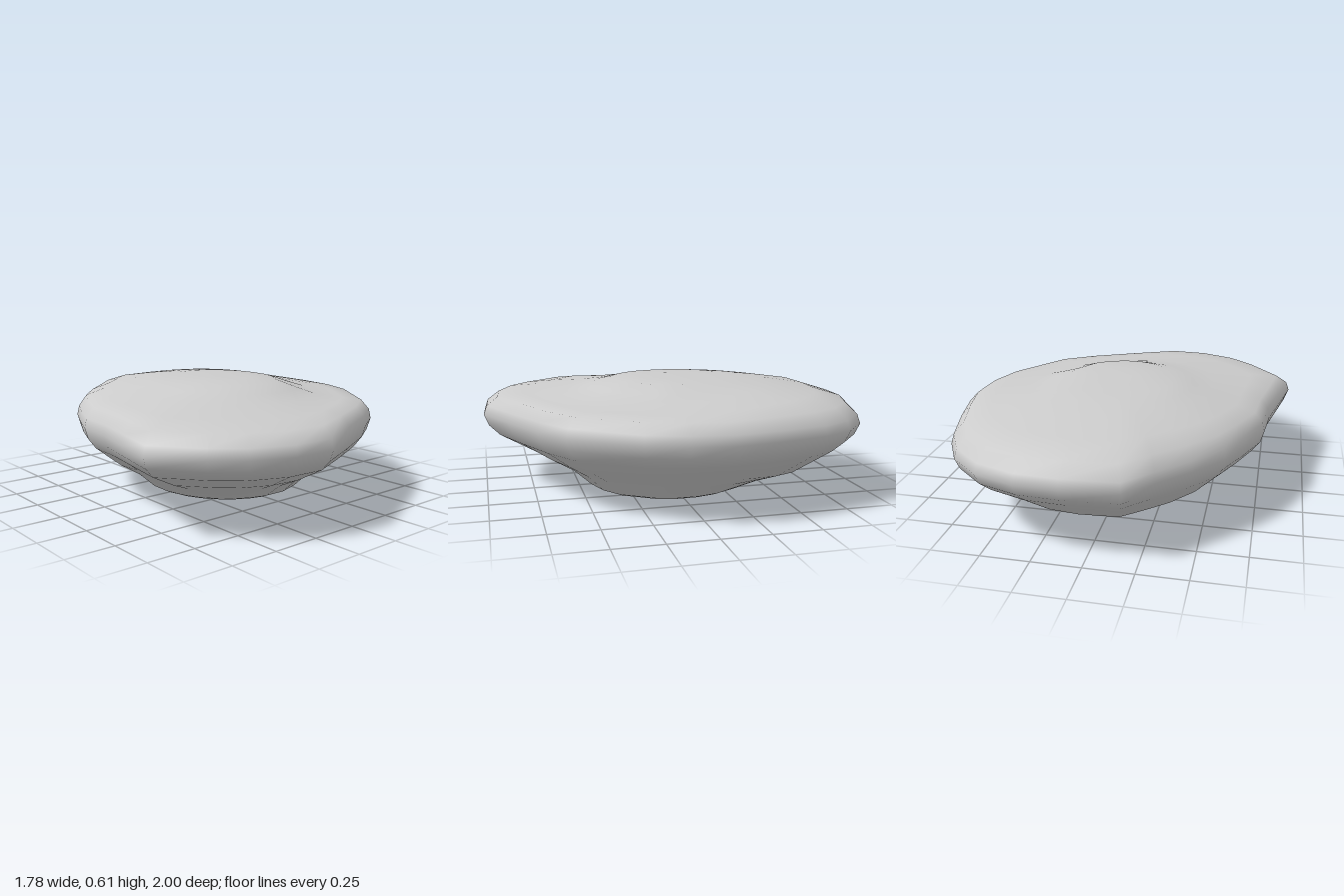
import * as THREE from 'three';

// Plan outline at the widest level, as [x, z]
const outline = [
  [-0.18, -0.98], [0.1, -1], [0.32, -0.99], [0.53, -0.92], [0.69, -0.78], [0.78, -0.61],
  [0.845, -0.36], [0.89, -0.13], [0.87, 0.1], [0.8, 0.3], [0.57, 0.63], [0.38, 0.75],
  [0.12, 0.875], [-0.15, 1], [-0.37, 0.99], [-0.57, 0.91], [-0.71, 0.79], [-0.89, 0.57],
  [-0.84, 0.32], [-0.79, 0.08], [-0.77, -0.14], [-0.69, -0.33], [-0.6, -0.52], [-0.46, -0.69],
  [-0.31, -0.84],
];

// Levels: s scales the core ellipse, t blends from the core to the outline, y is the height.
// back raises or lowers the level toward -z, step lowers it toward the front right.
const levels = [
  { s: 0.6, t: 0, y: 0.003 },
  { s: 0.92, t: 0, y: 0.01 },
  { s: 1, t: 0, y: 0.025 },
  { s: 1, t: 0.22, y: 0.11, back: -0.04 },
  { s: 1, t: 0.5, y: 0.18, back: -0.06 },
  { s: 1, t: 0.85, y: 0.28, back: -0.01 },
  { s: 1, t: 0.955, y: 0.335, back: -0.01 },
  { s: 1, t: 1, y: 0.395, back: -0.01 },
  { s: 1, t: 0.97, y: 0.445, back: -0.01 },
  { s: 1, t: 0.86, y: 0.495, back: 0.005 },
  { s: 1, t: 0.6, y: 0.52, back: 0.025, step: 0.015 },
  { s: 1, t: 0.2, y: 0.55, back: 0.03, step: 0.025 },
  { s: 0.95, t: 0, y: 0.573, back: 0.022, step: 0.015 },
  { s: 0.7, t: 0, y: 0.597, back: 0.006 },
  { s: 0.35, t: 0, y: 0.605 },
];

// Closed skin through the levels, with a centre point at each end
function buildStone() {
  const n = outline.length;
  const positions = [];
  const index = [];
  for (const { s, t, y, back = 0, step = 0 } of levels) {
    for (const [ox, oz] of outline) {
      const a = Math.atan2(oz, ox);
      const x = THREE.MathUtils.lerp(0.03 + 0.42 * s * Math.cos(a), ox, t);
      const z = THREE.MathUtils.lerp(0.45 * s * Math.sin(a), oz, t);
      const h = y + back * Math.max(0, -Math.sin(a)) - step * Math.max(0, Math.cos(a - 0.9));
      positions.push(x, h, z);
    }
  }
  const bottom = positions.length / 3;
  positions.push(0.03, 0, 0);
  const top = bottom + 1;
  positions.push(-0.03, 0.61, 0);

  for (let i = 0; i < n; i++) {
    const j = (i + 1) % n;
    for (let k = 0; k < levels.length - 1; k++) {
      const a = k * n + i, b = k * n + j, c = a + n, d = b + n;
      index.push(a, c, b, b, c, d);
    }
    const last = (levels.length - 1) * n;
    index.push(bottom, i, j);
    index.push(top, last + j, last + i);
  }
  const geometry = new THREE.BufferGeometry();
  geometry.setAttribute('position', new THREE.Float32BufferAttribute(positions, 3));
  geometry.setIndex(index);
  geometry.computeVertexNormals();
  return geometry;
}

export function createModel() {
  const group = new THREE.Group();
  group.name = 'flatRock';
  const stone = new THREE.Mesh(buildStone(), new THREE.MeshStandardMaterial({ color: 0xcccccc }));
  stone.name = 'stone';
  group.add(stone);
  return group;
}
